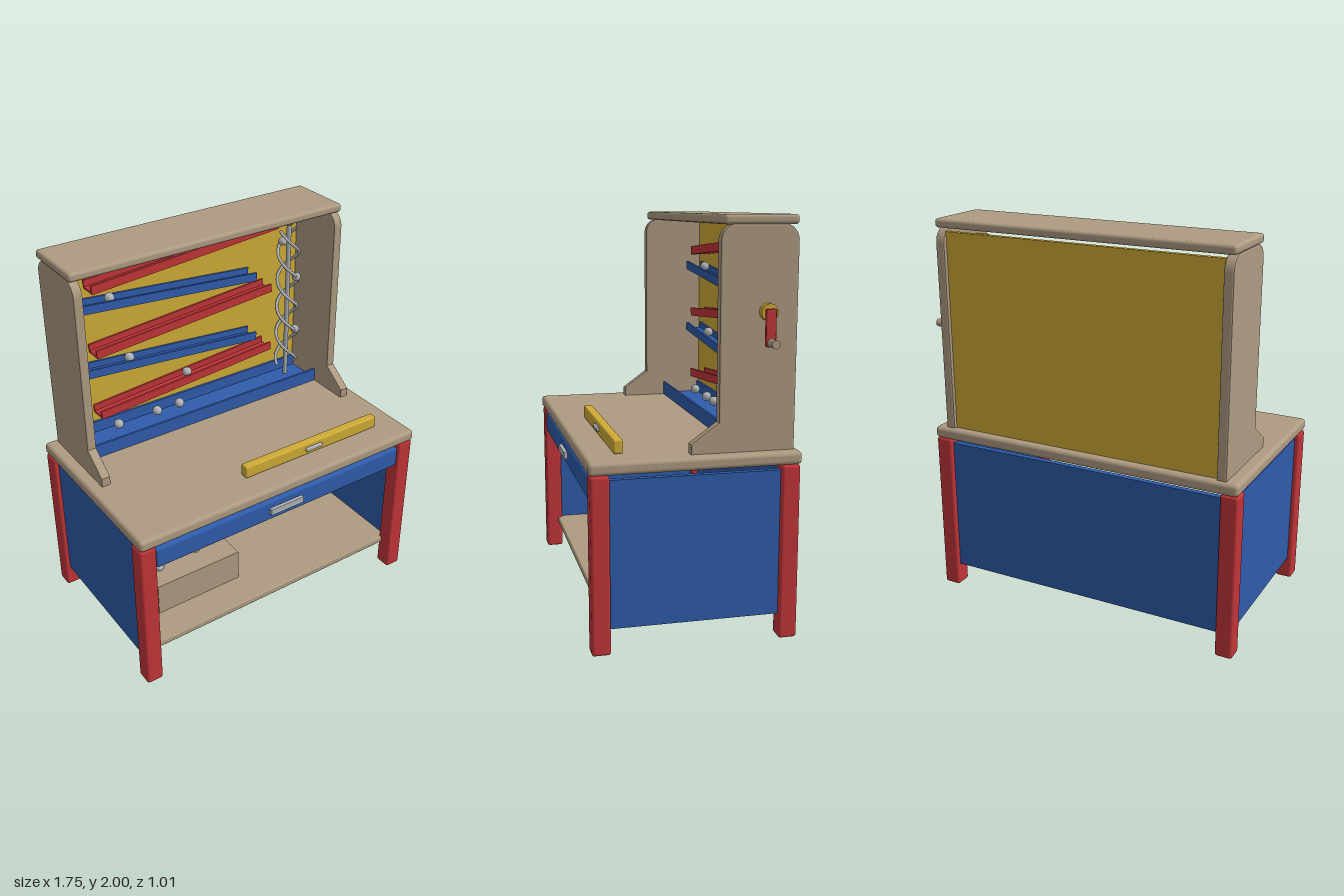
import * as THREE from 'three';
import { RoundedBoxGeometry } from 'three/addons/geometries/RoundedBoxGeometry.js';

export function createModel() {
  const model = new THREE.Group();
  model.name = 'marbleWorkbench';
  const mat = (name, color) => {
    const m = new THREE.MeshStandardMaterial({ color });
    m.name = name;
    return m;
  };
  const wood = mat('wood', 0xae9b82);
  const blue = mat('bluePaint', 0x2f5cab);
  const red = mat('redPaint', 0xc23539);
  const yellow = mat('yellowPaint', 0xcfab36);
  const steel = mat('steel', 0xb0b4b8);

  const add = (name, geo, material, x = 0, y = 0, z = 0, parent = model) => {
    const m = new THREE.Mesh(geo, material);
    m.name = name;
    m.position.set(x, y, z);
    parent.add(m);
    return m;
  };
  // Box given by its limits on each axis, rounded when r > 0
  const box = (name, material, [x0, x1], [y0, y1], [z0, z1], r = 0, parent = model) => {
    const s = [x1 - x0, y1 - y0, z1 - z0];
    const geo = r ? new RoundedBoxGeometry(...s, 3, r) : new THREE.BoxGeometry(...s);
    return add(name, geo, material, (x0 + x1) / 2, (y0 + y1) / 2, (z0 + z1) / 2, parent);
  };
  const ball = (x, y, z, r = 0.026) => {
    const m = add('marble', new THREE.SphereGeometry(r, 16, 12), steel, x, y, z);
    m.rotation.x = Math.PI / 2;
  };

  // Table
  box('tableTop', wood, [-0.875, 0.81], [0.855, 0.917], [-0.505, 0.505], 0.02);
  for (const x of [-0.875, 0.72])
    for (const z of [-0.497, 0.407])
      box('leg', red, [x, x + 0.09], [0, 0.855], [z, z + 0.09], 0.014);
  box('backPanel', blue, [-0.79, 0.725], [0.12, 0.83], [-0.475, -0.445]);
  box('leftPanel', blue, [0.755, 0.785], [0.12, 0.83], [-0.41, 0.41]);
  box('rightPanel', blue, [-0.85, -0.82], [0.12, 0.83], [-0.41, 0.41]);
  box('shelf', wood, [-0.82, 0.755], [0.14, 0.177], [-0.445, 0.43], 0.008);
  box('drawerFront', blue, [-0.785, 0.72], [0.715, 0.83], [0.45, 0.49], 0.015);
  box('drawerHandle', steel, [-0.13, 0.07], [0.757, 0.791], [0.488, 0.508]);

  // Storage box with marbles
  box('storageBox', wood, [-0.655, -0.155], [0.177, 0.355], [-0.15, 0.25]);
  for (const [x, z] of [[-0.575, 0.12], [-0.455, -0.02], [-0.335, 0.1], [-0.22, 0.06]])
    ball(x, 0.368, z, 0.029);

  // Spirit level lying on the table
  box('level', yellow, [-0.185, 0.66], [0.917, 0.985], [0.315, 0.362], 0.01);
  box('levelVial', steel, [0.185, 0.29], [0.942, 0.964], [0.36, 0.376], 0.007);

  // Cabinet side walls, drawn in (z, y) and extruded across x
  const side = new THREE.Shape();
  side.moveTo(0.475, 0.917);
  side.lineTo(-0.01, 0.917);
  side.lineTo(-0.01, 0.96);
  side.lineTo(0.122, 1.055);
  side.lineTo(0.122, 1.885);
  side.quadraticCurveTo(0.125, 1.93, 0.175, 1.95);
  side.lineTo(0.43, 1.95);
  side.quadraticCurveTo(0.475, 1.93, 0.478, 1.885);
  side.closePath();
  const sideGeo = new THREE.ExtrudeGeometry(side, {
    depth: 0.034, bevelThickness: 0.008, bevelSize: 0.008, bevelSegments: 2, curveSegments: 6,
  });
  sideGeo.rotateY(Math.PI / 2);
  for (const x of [-0.802, 0.708]) add('cabinetSide', sideGeo, wood, x);
  box('cabinetTop', wood, [-0.815, 0.755], [1.955, 2], [-0.483, -0.13], 0.016);
  box('cabinetBack', yellow, [-0.765, 0.705], [0.917, 1.937], [-0.465, -0.438]);

  // Open channel: floor plus two lips, tilted between its end points
  const channel = (name, material, x0, y0, x1, y1, zBack, zFront, h) => {
    const g = new THREE.Group();
    g.name = name;
    const half = Math.hypot(x1 - x0, y1 - y0) / 2;
    g.position.set((x0 + x1) / 2, (y0 + y1) / 2, 0);
    g.rotation.z = Math.atan2(y1 - y0, x1 - x0);
    const t = 0.012;
    box('floor', material, [-half, half], [-h / 2, -h / 2 + t], [zBack, zFront], 0, g);
    box('backLip', material, [-half, half], [-h / 2, h / 2], [zBack, zBack + t], 0, g);
    box('frontLip', material, [-half, half], [-h / 2, h / 2], [zFront - t, zFront], 0, g);
    model.add(g);
  };
  const ramps = [
    [red, -0.605, 1.782, 0.507, 1.869],
    [blue, -0.705, 1.692, 0.372, 1.604],
    [red, -0.605, 1.428, 0.472, 1.513],
    [blue, -0.705, 1.334, 0.372, 1.248],
    [red, -0.605, 1.07, 0.472, 1.156],
  ];
  for (const [m, ...ends] of ramps) channel('ramp', m, ...ends, -0.44, -0.345, 0.046);
  channel('collectingTrough', blue, -0.76, 0.954, 0.705, 0.954, -0.438, -0.22, 0.074);

  // Rolling marbles
  for (const [x, y] of [[0.015, 1.85], [-0.49, 1.696], [-0.4, 1.332], [-0.055, 1.135]]) ball(x, y, -0.393);
  for (const x of [-0.51, -0.275, -0.135]) ball(x, 0.985, -0.35);

  // Screw lift: pole, two spiral rails, funnel
  const lx = 0.595, lz = -0.365;
  add('liftPole', new THREE.CylinderGeometry(0.013, 0.013, 0.93, 12), steel, lx, 1.395, lz);
  class Helix extends THREE.Curve {
    constructor(phase) { super(); this.phase = phase; }
    getPoint(t, target = new THREE.Vector3()) {
      const a = this.phase + t * Math.PI * 2 * 2.5;
      return target.set(Math.cos(a) * 0.057, t * 0.82, Math.sin(a) * 0.057);
    }
  }
  for (const phase of [0, Math.PI])
    add('spiralRail', new THREE.TubeGeometry(new Helix(phase), 120, 0.009, 8), steel, lx, 1.0, lz);
  const funnelMat = yellow.clone();
  funnelMat.name = 'funnelYellow';
  funnelMat.side = THREE.DoubleSide;
  add('funnel', new THREE.CylinderGeometry(0.066, 0.02, 0.066, 24, 1, true), funnelMat, lx, 1.88, lz);
  ball(0.54, 1.77, lz + 0.02, 0.024);
  ball(0.62, 1.55, lz + 0.045, 0.024);
  ball(0.622, 1.23, lz + 0.045, 0.024);

  // Crank on the outer wall
  const cyl = (name, material, r, x0, x1, y) => {
    const m = add(name, new THREE.CylinderGeometry(r, r, x1 - x0, 24), material, (x0 + x1) / 2, y, -0.338);
    m.rotation.z = Math.PI / 2;
  };
  cyl('crankHub', yellow, 0.04, 0.74, 0.787, 1.565);
  box('crankArm', red, [0.785, 0.809], [1.41, 1.582], [-0.362, -0.314], 0.005);
  cyl('crankHandle', wood, 0.02, 0.805, 0.875, 1.43);

  return model;
}
